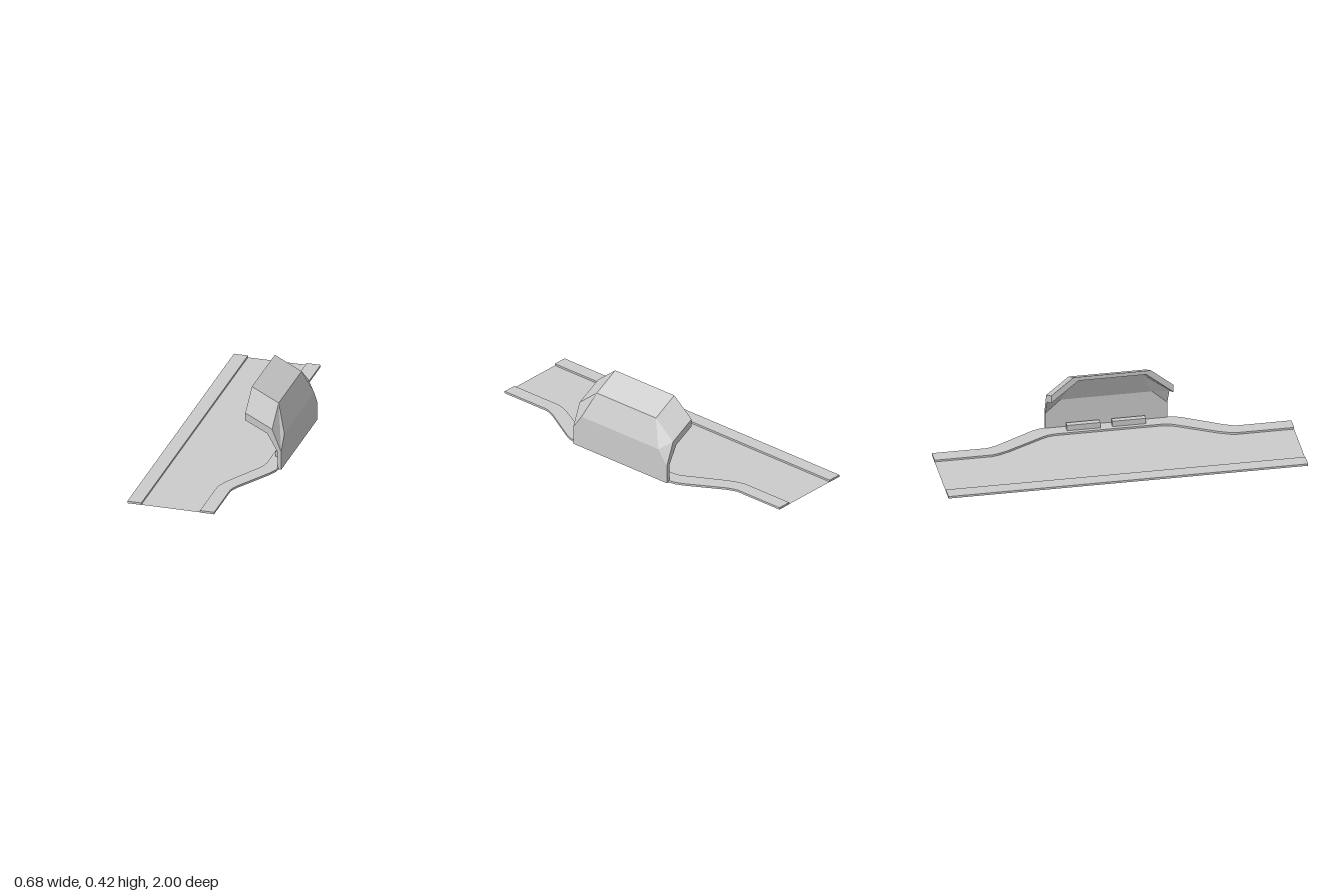
import * as THREE from 'three';

const grey = new THREE.MeshStandardMaterial({ color: 0xcccccc, flatShading: true });
const thin = new THREE.MeshStandardMaterial({ color: 0xcccccc, flatShading: true, side: THREE.DoubleSide });

// Half of each pavement edge as [x, z], from the end of the road to the bay
const innerHalf = [[0.076, 1], [0.076, 0.68], [0.084, 0.645], [0.108, 0.585], [0.222, 0.375], [0.238, 0.34], [0.245, 0.3]];
const outerHalf = [[0.156, 1], [0.156, 0.70], [0.161, 0.675], [0.18, 0.63], [0.3, 0.42], [0.317, 0.38], [0.325, 0.33]];

// Mirror a half edge into a full one running from z = 1 to z = -1
const fullEdge = half => [...half, ...half.map(([x, z]) => [x, -z]).reverse()];

const planShape = pts => new THREE.Shape(pts.map(([x, z]) => new THREE.Vector2(x, -z)));

function slab(pts, height) {
  const geo = new THREE.ExtrudeGeometry(planShape(pts), { depth: height, bevelEnabled: false });
  return geo.rotateX(-Math.PI / 2);
}

// Faceted shell: a loop of outer and inner points at each station from roof edge to ground
function shelterGeometry() {
  const W = 0.34;
  // x, y at the sides, y in the middle, half width of the middle
  const outer = [[0.133, 0.315, 0.418, 0.215], [0.286, 0.237, 0.34, 0.215], [0.338, 0.107, 0.19, 0.28], [0.338, 0, 0, 0.28]];
  const inner = [[0.133, 0.27, 0.395, 0.188], [0.258, 0.208, 0.326, 0.188], [0.317, 0.105, 0.182, 0.255], [0.317, 0, 0, 0.255]];
  const row = ([x, low, top, z]) => [[x, low, -W], [x, top, -z], [x, top, z], [x, low, W]];
  const loops = outer.map((o, i) => [...row(o), ...row(inner[i]).reverse()]);

  const pos = [];
  const quad = (a, b, c, d) => pos.push(...a, ...b, ...c, ...a, ...c, ...d);
  for (let j = 0; j < 3; j++) {
    for (let i = 0; i < 8; i++) {
      const n = (i + 1) % 8;
      quad(loops[j][i], loops[j][n], loops[j + 1][n], loops[j + 1][i]);
    }
  }
  // Roof edge and base
  const [first, last] = [loops[0], loops[3]];
  for (let i = 0; i < 3; i++) {
    quad(first[7 - i], first[6 - i], first[i + 1], first[i]);
    quad(last[i], last[i + 1], last[6 - i], last[7 - i]);
  }
  const geo = new THREE.BufferGeometry();
  geo.setAttribute('position', new THREE.Float32BufferAttribute(pos, 3));
  geo.computeVertexNormals();
  return geo;
}

export function createModel() {
  const group = new THREE.Group();
  const add = (name, geo, material = grey) => {
    const mesh = new THREE.Mesh(geo, material);
    mesh.name = name;
    group.add(mesh);
    return mesh;
  };
  const innerEdge = fullEdge(innerHalf);
  const outerEdge = fullEdge(outerHalf);

  // Road surface between the two pavements
  const road = new THREE.ShapeGeometry(planShape([[-0.26, -1], [-0.26, 1], ...innerEdge]));
  add('road', road.rotateX(-Math.PI / 2), thin).position.y = 0.001;

  // Pavements
  add('straightPavement', slab([[-0.34, 1], [-0.26, 1], [-0.26, -1], [-0.34, -1]], 0.012));
  add('bayPavement', slab([...innerEdge, ...outerEdge.slice().reverse()], 0.012));

  // Shelter
  add('shelter', shelterGeometry());

  // Pair of benches under the shelter
  for (const [name, z] of [['leftBench', 0.118], ['rightBench', -0.135]]) {
    add(name, new THREE.BoxGeometry(0.032, 0.033, 0.185)).position.set(0.283, 0.0285, z);
  }
  return group;
}
